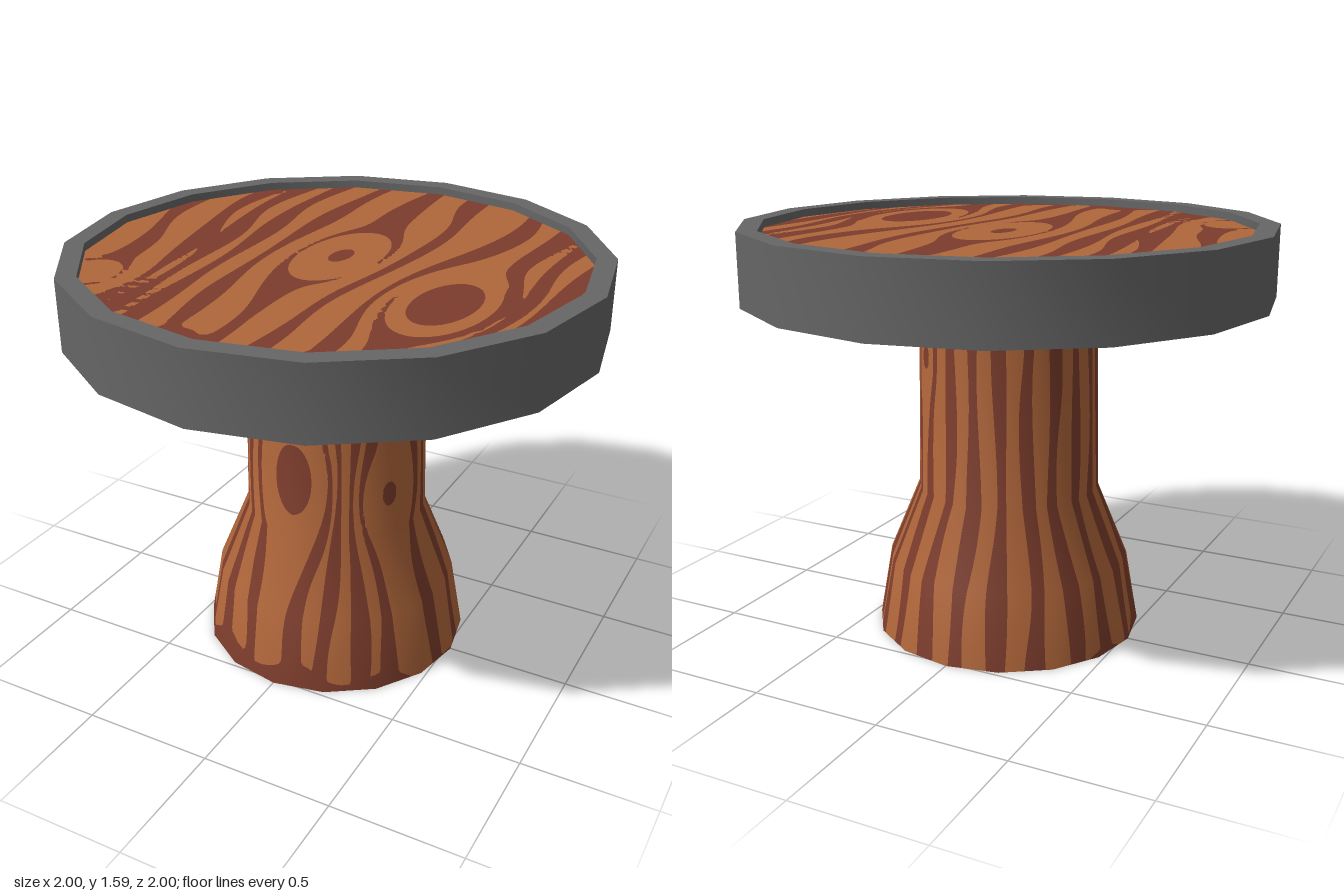
import * as THREE from 'three';
import { toCreasedNormals } from 'three/addons/utils/BufferGeometryUtils.js';

const SIDES = 16;
const STEP = (Math.PI * 2) / SIDES;

const mat = (name, color, side = THREE.FrontSide) => {
  const m = new THREE.MeshStandardMaterial({ color, side });
  m.name = name;
  return m;
};

// Knots in the wood: x, y, radius x, radius y, dark core as a fraction of the radius
const topKnots = [[0, -0.04, 0.16, 0.31, 0.24], [0.53, 0.23, 0.18, 0.33, 0.62], [-0.7, 0.52, 0.11, 0.14, 0]];
const legKnots = [[0, 0.81, 0.38, 0.25, 0.58], [1.1, 0.74, 0.29, 0.17, 0.3], [2.47, 1.1, 0.14, 0.09, 0.5]];

// Grain lines by their sideways position
const topLines = [-0.86, -0.65, -0.54, -0.4, -0.22, 0, 0.21, 0.47, 0.64, 0.76, 0.9];
const legLines = [-0.95, -0.6, -0.26, 0.15, 0.38, 0.66, 0.9, 1.37, 1.75, 2.08, 2.32, 2.6];
for (let i = 0; i < 8; i++) legLines.push(2.92 + i * 0.3);

// Signed grain field, negative on dark wood: straight lines that flow round the knots
function grain(lines, knots, halfWidth, x, y, taper) {
  let flow = x;
  for (const [cx, cy, rx, ry] of knots) {
    const X = (x - cx) / rx, R2 = Math.max(1, X * X + ((y - cy) / ry) ** 2);
    flow -= (rx * X / R2) * Math.exp((1 - R2) * 0.25);
  }
  flow = flow / taper + 0.02 * Math.sin(y * 6 + x * 4);
  const width = halfWidth * (1 + 0.3 * Math.sin(7 * y + 9 * x));
  let d = Math.min(...lines.map((s) => Math.abs(flow - s))) - width;
  for (const [cx, cy, rx, ry, core] of knots) {
    const R = Math.hypot((x - cx) / rx, (y - cy) / ry), size = Math.min(rx, ry);
    d = Math.max(d, (0.93 - R) * size);
    d = Math.min(d, (R - core) * size);
  }
  return d;
}

// Board grain narrows toward the front and ends in a dark edge
function topField(x, z) {
  const taper = 1 - 0.2 * THREE.MathUtils.smoothstep(z, -0.6, 0.6);
  const edge = 0.86 - z + 0.06 * Math.sin(14 * x);
  return Math.min(grain(topLines, topKnots, 0.04, x, z, taper), edge);
}

// Leg grain runs up the trunk, over a dark uneven foot
function legField(a, y) {
  const foot = y - 0.08 * Math.cos(a + 0.3) - 0.03 * Math.sin(9 * a);
  return Math.min(grain(legLines, legKnots, 0.066, a, y, 1), foot);
}

// Grid surface cut cleanly along the grain outline into light and dark faces.
// at(u, v) gives [px, py, pz, nx, ny, nz, field]
function grainSurface(nu, nv, at) {
  const light = [], dark = [];
  const cut = (tri, sign, out) => {
    const poly = [];
    tri.forEach((a, i) => {
      const b = tri[(i + 1) % 3], fa = a[6] * sign, fb = b[6] * sign;
      if (fa >= 0) poly.push(a);
      if ((fa >= 0) !== (fb >= 0)) {
        const t = fa / (fa - fb);
        poly.push(a.map((c, k) => c + (b[k] - c) * t));
      }
    });
    for (let i = 1; i + 1 < poly.length; i++) out.push(poly[0], poly[i], poly[i + 1]);
  };
  const grid = [];
  for (let j = 0; j <= nv; j++) {
    grid.push([]);
    for (let i = 0; i <= nu; i++) grid[j].push(at(i / nu, j / nv));
  }
  for (let j = 0; j < nv; j++) for (let i = 0; i < nu; i++) {
    const a = grid[j][i], b = grid[j][i + 1], c = grid[j + 1][i + 1], d = grid[j + 1][i];
    for (const tri of [[a, b, c], [a, c, d]]) {
      cut(tri, 1, light);
      cut(tri, -1, dark);
    }
  }
  const all = light.concat(dark), geo = new THREE.BufferGeometry();
  const attr = (k) => new THREE.Float32BufferAttribute(all.flatMap((v) => v.slice(k, k + 3)), 3);
  geo.setAttribute('position', attr(0));
  geo.setAttribute('normal', attr(3));
  geo.addGroup(0, light.length, 0);
  geo.addGroup(light.length, dark.length, 1);
  return geo;
}

// Radius scale that turns a circle into a regular polygon with corners on the axes
const polygon = (a) => {
  const local = (((a % STEP) + STEP) % STEP) - STEP / 2;
  return Math.cos(STEP / 2) / Math.cos(local);
};

export function createModel() {
  const group = new THREE.Group();
  const metal = mat('darkGreyMetal', 0x666667);
  const wood = [mat('lightWood', 0xb0663a, THREE.DoubleSide), mat('darkWood', 0x7c3c2c, THREE.DoubleSide)];
  const add = (name, geo, material) => {
    const mesh = new THREE.Mesh(geo, material);
    mesh.name = name;
    group.add(mesh);
  };

  // Faceted metal band round the table top
  const band = [[0.925, 1.315], [1, 1.315], [1, 1.585], [0.925, 1.585], [0.925, 1.315]];
  const bandGeo = new THREE.LatheGeometry(band.map(([x, y]) => new THREE.Vector2(x, y)), SIDES);
  add('rim', toCreasedNormals(bandGeo, 0.5), metal);

  // Wooden board, recessed above and below
  const board = (y, up) => grainSurface(128, 50, (u, v) => {
    const a = u * Math.PI * 2, r = 0.926 * polygon(a) * (up > 0 ? 1 - v : v);
    const x = r * Math.sin(a), z = r * Math.cos(a);
    return [x, y, z, 0, up, 0, topField(x, z)];
  });
  add('tableTop', board(1.555, 1), wood);
  add('tableUnderside', board(1.345, -1), wood);

  // Flared trunk leg, open at the foot: radius, height, normal slope
  const profile = [[0.52, 0, 0.18], [0.47, 0.285, 0.3], [0.352, 0.57, 0.2], [0.338, 1.35, 0.015]];
  add('leg', grainSurface(192, 60, (u, v) => {
    const s = v * 3, i = Math.min(2, Math.floor(s));
    const [r, y, slope] = profile[i].map((c, k) => c + (profile[i + 1][k] - c) * (s - i));
    const a = -3 * STEP + u * Math.PI * 2, R = r * polygon(a), n = Math.hypot(1, slope);
    return [R * Math.sin(a), y, R * Math.cos(a), Math.sin(a) / n, slope / n, Math.cos(a) / n, legField(a, y)];
  }), wood);

  return group;
}
